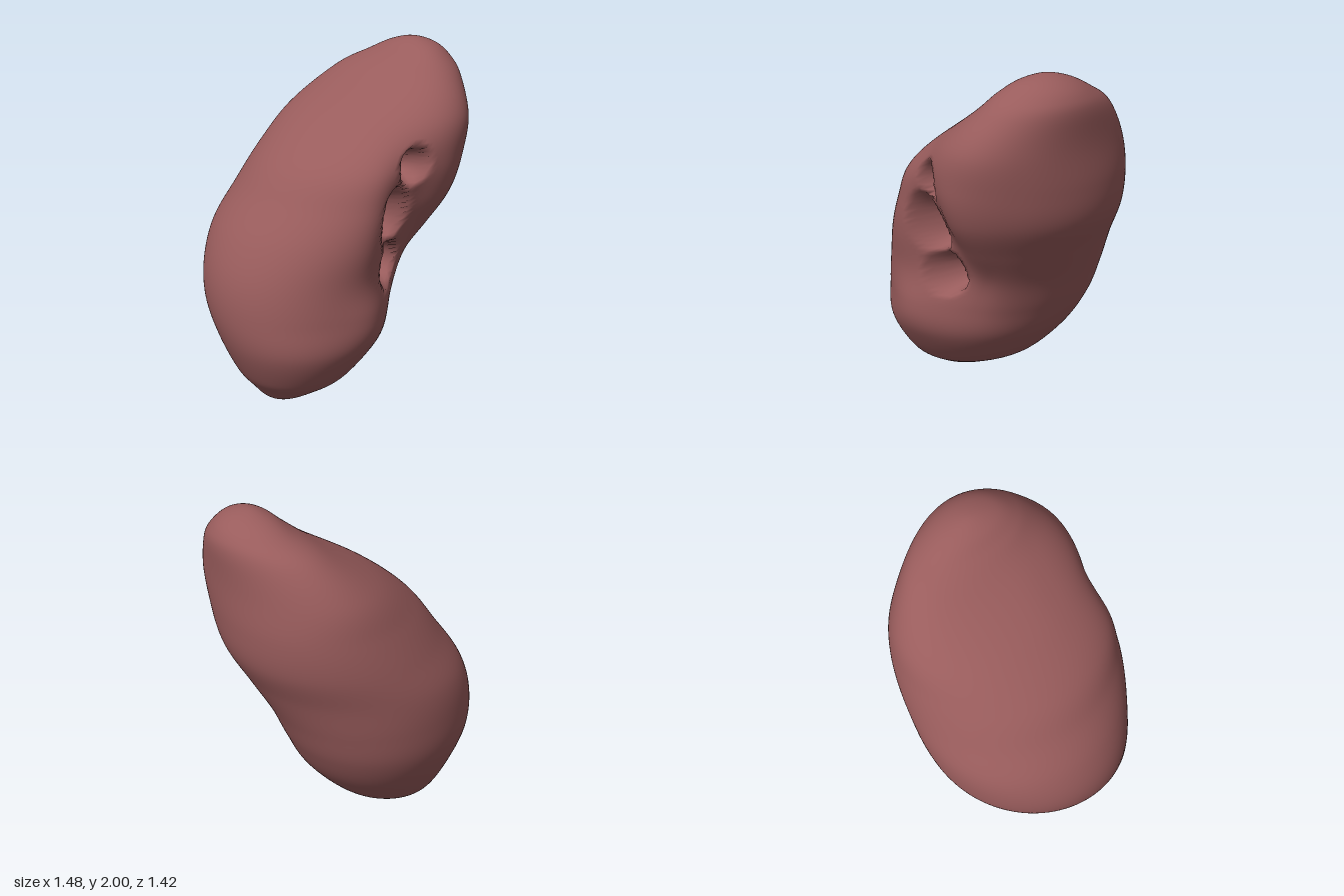
import * as THREE from 'three';

// Horizontal sections of the bean: y, xMin, xMax, zMin, zMax, diagonal lean, bend
const SECTIONS = [
  [0.00, -0.29, -0.29, 0.28, 0.28, 0.15, 0],
  [0.03, -0.39, -0.17, 0.15, 0.41, 0.15, 0],
  [0.10, -0.48, -0.02, 0.00, 0.50, 0.14, 0],
  [0.20, -0.57, 0.13, -0.18, 0.60, 0.1, 0],
  [0.40, -0.67, 0.28, -0.37, 0.70, 0.05, 0],
  [0.60, -0.74, 0.34, -0.49, 0.71, 0.0, 0],
  [0.80, -0.75, 0.41, -0.56, 0.69, -0.02, 0],
  [1.00, -0.71, 0.53, -0.62, 0.64, 0.0, 0],
  [1.20, -0.60, 0.65, -0.69, 0.56, 0.05, -0.02],
  [1.40, -0.48, 0.72, -0.71, 0.47, 0.14, -0.04],
  [1.60, -0.33, 0.74, -0.69, 0.28, 0.28, -0.02],
  [1.80, -0.08, 0.67, -0.64, 0.01, 0.4, 0.03],
  [1.90, 0.11, 0.60, -0.57, -0.11, 0.38, 0.03],
  [1.97, 0.25, 0.51, -0.47, -0.22, 0.35, 0.01],
  [2.00, 0.38, 0.38, -0.345, -0.345, 0.35, 0],
];

// Soft swells (negative) and dents on the inner side: across, height, half width, half height, depth
const DENTS = [
  [0.12, 1.10, 0.20, 0.42, 0.16],
  [0.38, 1.50, 0.25, 0.25, 0.05],
  [-0.10, 0.56, 0.22, 0.17, -0.05],
];

// Hollows of the notch, in the same order
const PITS = [
  [0.14, 1.40, 0.09, 0.11, 0.18],
  [0.04, 1.12, 0.11, 0.19, 0.22],
  [0.07, 0.82, 0.10, 0.14, 0.22],
];

const STEPS = 8, SIDES = 140;
const LAST = SECTIONS.length - 1;

// A section by number; past a pole it is the neighbour seen through the pole
function section(k) {
  if (k >= 0 && k <= LAST) return SECTIONS[k];
  const [y, x0, x1, z0, z1, lean, bend] = SECTIONS[k < 0 ? -k : 2 * LAST - k];
  return [y, x1, x0, z1, z0, lean, bend];
}

// Smooth interpolation between sections
function sectionAt(i, f) {
  const [p, q, r, s] = [section(i - 1), section(i), section(i + 1), section(i + 2)];
  return q.map((v, k) => v + 0.5 * f * (r[k] - p[k] +
    f * (2 * p[k] - 5 * v + 4 * r[k] - s[k] + f * (3 * (v - r[k]) + s[k] - p[k]))));
}

// How far a surface point is pushed inward to form the notch
function notchDepth(across, y) {
  const distance = ([w, h, rw, rh]) => Math.hypot((across - w) / rw, (y - h) / rh);
  let dent = 0, pit = 0;
  for (const d of DENTS) dent += d[4] * Math.exp(-(distance(d) ** 2));
  for (const p of PITS) {
    pit = Math.max(pit, p[4] * (1 - THREE.MathUtils.smoothstep(distance(p), 0.35, 1.1)));
  }
  return dent + pit;
}

function beanGeometry() {
  const positions = [], index = [];
  const rows = LAST * STEPS;
  for (let row = 0; row <= rows; row++) {
    const i = Math.min(Math.floor(row / STEPS), LAST - 1);
    const [y, x0, x1, z0, z1, lean, bend] = sectionAt(i, row / STEPS - i);
    const phase = Math.acos(lean);
    for (let j = 0; j < SIDES; j++) {
      const t = (j / SIDES) * Math.PI * 2;
      // Leaning ellipse, bent into a slight crescent
      const shift = bend * Math.sin(t) * Math.sin(t - phase) * Math.SQRT1_2;
      let x = (x0 + x1) / 2 + (x1 - x0) / 2 * Math.cos(t) + shift;
      let z = (z0 + z1) / 2 + (z1 - z0) / 2 * Math.cos(t - phase) - shift;
      // The notch faces the +x +z diagonal
      const out = (x + z) * Math.SQRT1_2, across = (x - z) * Math.SQRT1_2;
      const push = notchDepth(across, y) * THREE.MathUtils.smoothstep(out, 0.05, 0.3);
      x -= push * Math.SQRT1_2;
      z -= push * Math.SQRT1_2;
      positions.push(x, y, z);
      if (row === rows) continue;
      const a = row * SIDES + j, b = row * SIDES + (j + 1) % SIDES;
      const c = a + SIDES, d = b + SIDES;
      if (row > 0) index.push(a, c, b);
      if (row < rows - 1) index.push(b, c, d);
    }
  }
  // Close both poles with a single shared point each
  const shared = (k) => (k < SIDES ? 0 : k >= rows * SIDES ? rows * SIDES : k);
  const geometry = new THREE.BufferGeometry();
  geometry.setAttribute('position', new THREE.Float32BufferAttribute(positions, 3));
  geometry.setIndex(index.map(shared));
  geometry.computeVertexNormals();
  return geometry;
}

export function createModel() {
  const group = new THREE.Group();
  group.name = 'kidney';
  const body = new THREE.Mesh(beanGeometry(), new THREE.MeshStandardMaterial({ color: 0x995c5c }));
  body.name = 'kidneyBody';
  group.add(body);
  return group;
}
